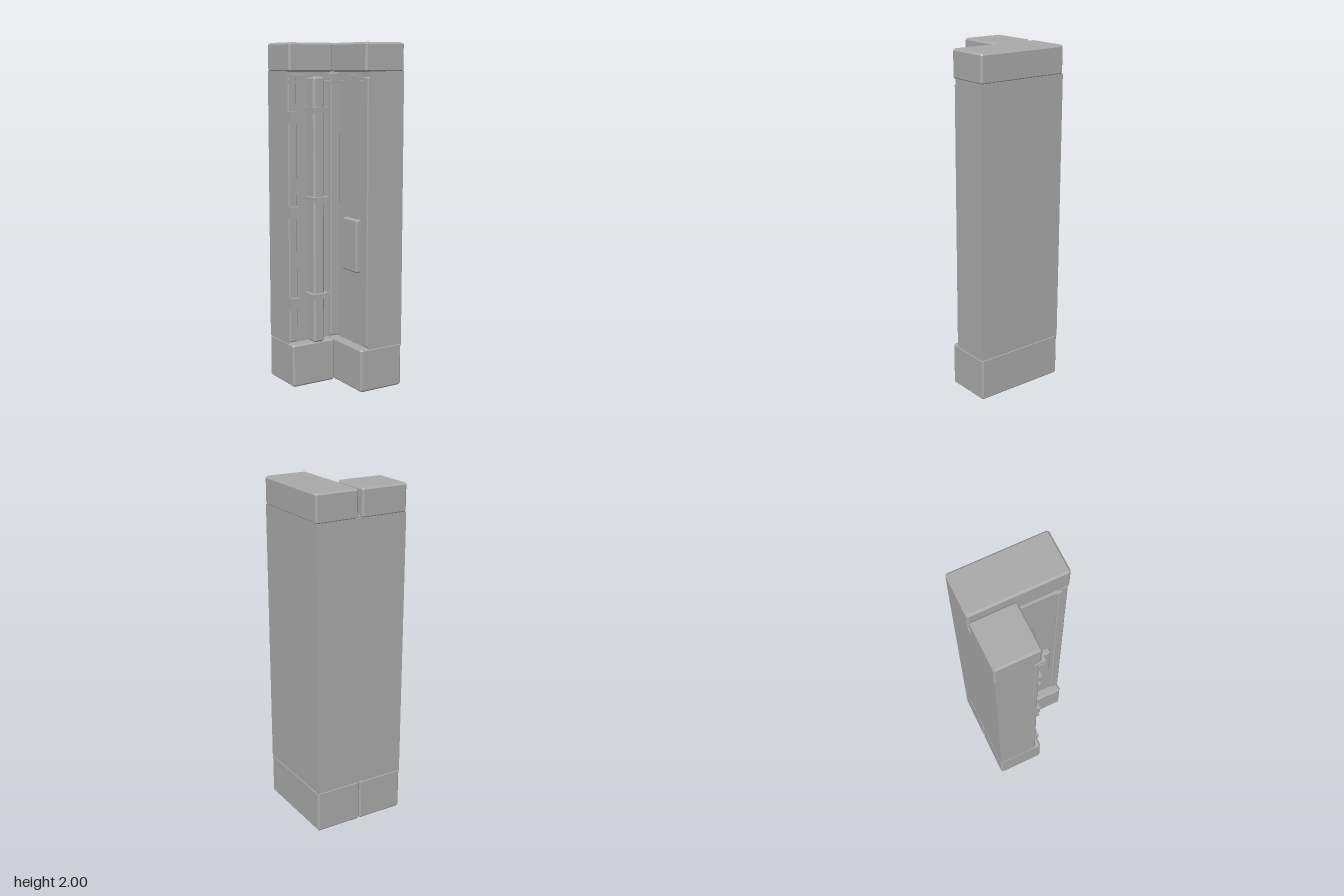
import * as THREE from 'three';
import { ConvexGeometry } from 'three/addons/geometries/ConvexGeometry.js';

export function createModel() {
  const model = new THREE.Group();
  model.name = 'cornerWall';
  const grey = new THREE.MeshStandardMaterial({ color: 0xa8a8a8 });
  grey.name = 'grey';

  function add(name, geometry) {
    const mesh = new THREE.Mesh(geometry, grey);
    mesh.name = name;
    model.add(mesh);
    return mesh;
  }

  // Box given by its limits; a bevel above zero cuts every edge at 45 degrees
  function block(name, [x0, x1], [y0, y1], [z0, z1], bevel = 0) {
    const half = [(x1 - x0) / 2, (y1 - y0) / 2, (z1 - z0) / 2];
    let geometry;
    if (bevel > 0) {
      const points = [];
      for (const sx of [-1, 1]) for (const sy of [-1, 1]) for (const sz of [-1, 1]) {
        for (let full = 0; full < 3; full++) {
          const p = [sx, sy, sz].map((s, i) => s * (half[i] - (i === full ? 0 : bevel)));
          points.push(new THREE.Vector3(...p));
        }
      }
      geometry = new ConvexGeometry(points);
    } else {
      geometry = new THREE.BoxGeometry(...half.map((h) => h * 2));
    }
    add(name, geometry).position.set((x0 + x1) / 2, (y0 + y1) / 2, (z0 + z1) / 2);
  }

  const S = 0.285;

  // Base and cap blocks
  block('baseBlockSide', [-S, 0], [0, 0.257], [-S, 0], 0.011);
  block('baseBlockFront', [0, S], [0, 0.257], [-S, S], 0.011);
  block('capBlockSide', [-S, 0], [1.835, 2], [-S, -0.025], 0.011);
  block('capBlockFront', [0.025, S], [1.835, 2], [-S, S], 0.011);

  // L-shaped wall; the plan is drawn with y = -z and extruded upwards
  const W = 0.283, innerX = 0.05, innerZ = -0.06;
  const plan = new THREE.Shape([
    [-W, W], [-W, -innerZ], [innerX, -innerZ], [innerX, -W], [W, -W], [W, W],
  ].map(([x, y]) => new THREE.Vector2(x, y)));
  const wall = add('wall', new THREE.ExtrudeGeometry(plan, { depth: 1.59, bevelEnabled: false }));
  wall.rotation.x = -Math.PI / 2;
  wall.position.y = 0.25;

  // Narrow core that joins wall, base and caps
  block('wallCore', [-0.27, 0.27], [0.2, 1.85], [-0.27, -0.08]);

  // Edge strips on both ends and the inner corner post
  block('edgeStripSide', [-S, -0.23], [0.265, 1.81], [innerZ - 0.01, -0.04], 0.006);
  block('edgeStripFront', [0.038, 0.06], [0.265, 1.81], [0.23, 0.283], 0.006);
  block('cornerPost', [-0.008, 0.055], [0.265, 1.832], [-0.08, -0.03], 0.006);

  // Upright duct on the side wall
  block('duct', [-0.152, -0.08], [0.255, 1.81], [innerZ - 0.01, 0.018], 0.012);

  // Clamps over the duct and the side strip
  for (const y of [0.537, 1.108, 1.623]) {
    block('ductClamp', [-0.172, -0.06], [y - 0.016, y + 0.016], [innerZ, 0.04]);
  }
  for (const y of [0.497, 1.037, 1.58]) {
    block('stripClamp', [-S, -0.228], [y - 0.034, y + 0.034], [innerZ - 0.01, -0.02]);
  }

  // Paired rails under the caps on both inner faces
  block('upperRailSide', [-S, 0], [1.805, 1.823], [innerZ - 0.01, -0.003]);
  block('lowerRailSide', [-S, -0.008], [1.768, 1.788], [innerZ - 0.01, -0.012]);
  block('upperRailFront', [0.02, 0.06], [1.805, 1.823], [innerZ, 0.2]);
  block('lowerRailFront', [0.028, 0.06], [1.768, 1.788], [innerZ, 0.25]);

  // Panel on the inner face of the front wall
  block('wallPanel', [0.02, 0.06], [0.69, 1.0], [0.05, 0.2], 0.008);

  return model;
}
